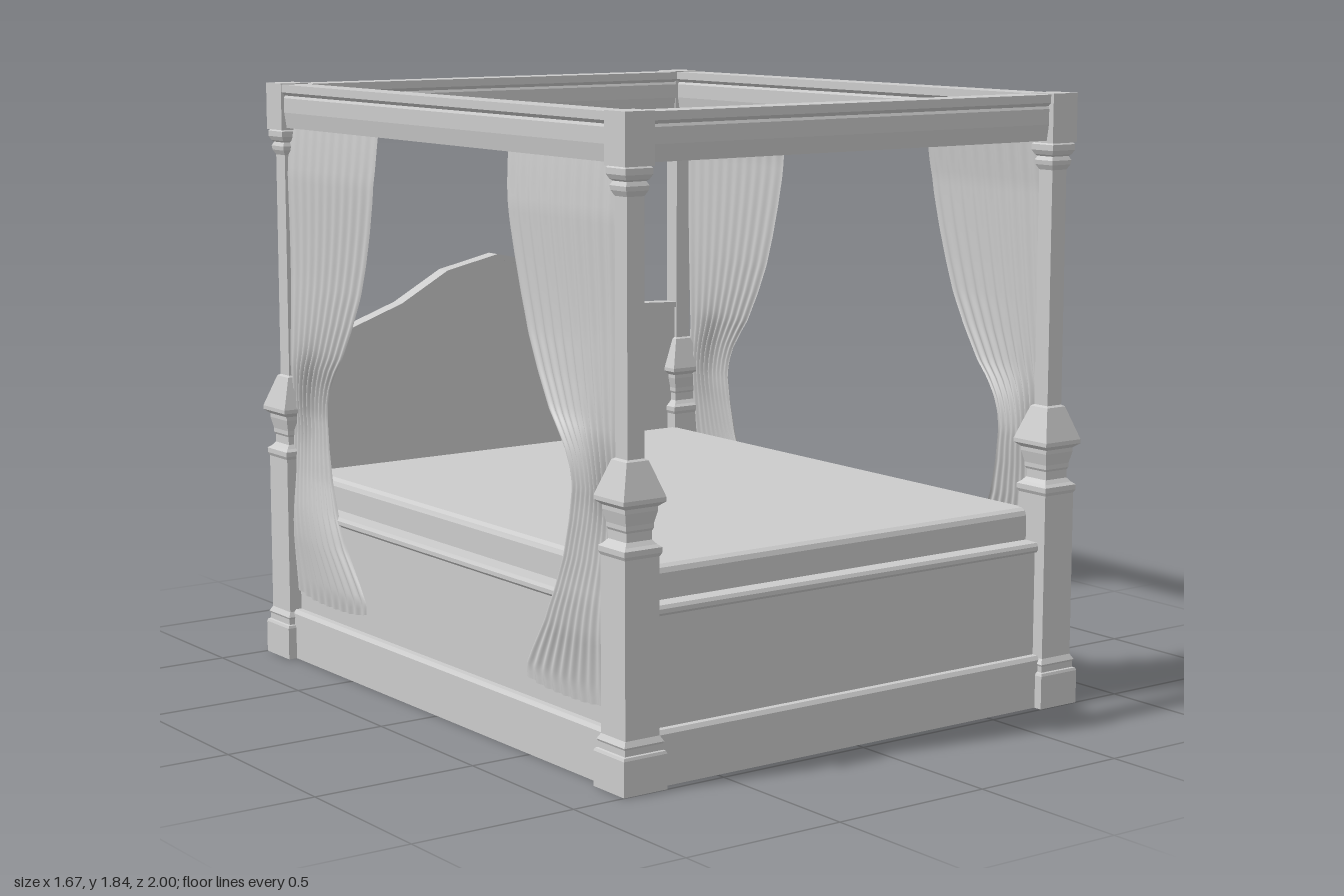
import * as THREE from 'three';

const flat = new THREE.MeshStandardMaterial({ color: 0xcccccc, flatShading: true });
const cloth = new THREE.MeshStandardMaterial({ color: 0xcccccc, side: THREE.DoubleSide });
const POST_X = 0.764, POST_Z = 0.928;

// Sweeps a profile of [offset, y] points around a rectangle of half sizes hx, hz
function sweepRect(name, hx, hz, profile, closed = false) {
  const corners = [[1, 1], [1, -1], [-1, -1], [-1, 1]];
  const point = ([o, y], k) => {
    const [sx, sz] = corners[k % 4];
    return [sx * (hx + o), y, sz * (hz + o)];
  };
  const pos = [];
  const count = closed ? profile.length : profile.length - 1;
  for (let i = 0; i < count; i++) {
    const p = profile[i], q = profile[(i + 1) % profile.length];
    for (let k = 0; k < 4; k++) {
      const a = point(p, k), b = point(p, k + 1), c = point(q, k + 1), d = point(q, k);
      pos.push(...a, ...b, ...c, ...a, ...c, ...d);
    }
  }
  const geo = new THREE.BufferGeometry();
  geo.setAttribute('position', new THREE.Float32BufferAttribute(pos, 3));
  geo.computeVertexNormals();
  const mesh = new THREE.Mesh(geo, flat);
  mesh.name = name;
  return mesh;
}

// Linear look-up in a list of [y, value] points, y falling
function sample(points, y) {
  for (let i = 0; i < points.length - 1; i++) {
    const [y0, a] = points[i], [y1, b] = points[i + 1];
    if (y >= y1) return THREE.MathUtils.lerp(a, b, THREE.MathUtils.clamp((y0 - y) / (y0 - y1), 0, 1));
  }
  return points[points.length - 1][1];
}

// Square turned post with foot, bell and capital block
function makePost() {
  return sweepRect('post', 0, 0, [
    [0, 0], [0.072, 0], [0.072, 0.1], [0.069, 0.108], [0.063, 0.11], [0.063, 0.128], [0.066, 0.134],
    [0.057, 0.15], [0.057, 0.645], [0.062, 0.655], [0.062, 0.67], [0.052, 0.678], [0.042, 0.69],
    [0.042, 0.715], [0.046, 0.722], [0.046, 0.735], [0.054, 0.77], [0.054, 0.782], [0.07, 0.795],
    [0.07, 0.807], [0.036, 0.905], [0.028, 0.91], [0.028, 1.61], [0.036, 1.625], [0.038, 1.638],
    [0.032, 1.65], [0.038, 1.655], [0.045, 1.668], [0.045, 1.685], [0.04, 1.69], [0.048, 1.69],
    [0.048, 1.835], [0, 1.835],
  ]);
}

// Arched headboard with a wider capping strip
function makeHeadboard() {
  const half = [[0.74, 1.034], [0.565, 1.042], [0.37, 1.11], [0.195, 1.206]];
  const top = [...half, [0, 1.248], ...half.map(([x, y]) => [-x, y]).reverse()];
  const extrude = (name, outline, z, depth) => {
    const shape = new THREE.Shape(outline.map(([x, y]) => new THREE.Vector2(x, y)));
    const mesh = new THREE.Mesh(new THREE.ExtrudeGeometry(shape, { depth, bevelEnabled: false }), flat);
    mesh.name = name;
    mesh.position.z = z;
    return mesh;
  };
  const lower = top.map(([x, y]) => [x, y - 0.018]);
  const group = new THREE.Group();
  group.name = 'headboard';
  group.add(
    extrude('headboardPanel', [[-0.74, 0.48], [0.74, 0.48], ...lower], -0.948, 0.035),
    extrude('headboardCap', [...top, ...[...lower].reverse()], -0.957, 0.053),
  );
  return group;
}

// Tied-back curtain: free edge, hang, pleat depth and billow are read by height
const FREE_EDGE = [[1.7, 0.356], [1.6, 0.362], [1.5, 0.377], [1.4, 0.4], [1.3, 0.428], [1.2, 0.462],
  [1.1, 0.512], [1, 0.572], [0.95, 0.615], [0.9, 0.65], [0.85, 0.67], [0.8, 0.678], [0.7, 0.665],
  [0.6, 0.643], [0.5, 0.605], [0.4, 0.552], [0.3, 0.48], [0.25, 0.448], [0.2, 0.455]];
const HANG = [[1.7, 0.772], [1.55, 0.787], [1.3, 0.795], [1.1, 0.8], [0.95, 0.804], [0.8, 0.798],
  [0.6, 0.802], [0.45, 0.806], [0.3, 0.803], [0.2, 0.8]];
const PLEAT = [[1.7, 0.003], [1.3, 0.0035], [1.0, 0.004], [0.75, 0.004], [0.2, 0.004]];
const BILLOW = [[1.7, 0], [0.75, 0.002], [0.62, 0.012], [0.5, 0.022], [0.4, 0.022], [0.3, 0.012], [0.2, 0.004]];

function makeCurtain(sx, sz, inset) {
  const geo = new THREE.PlaneGeometry(1, 1, 120, 70);
  const pos = geo.attributes.position;
  for (let i = 0; i < pos.count; i++) {
    const u = pos.getX(i) + 0.5, v = 0.5 - pos.getY(i);
    const hem = 0.2 + 0.03 * Math.pow(Math.abs(u - 0.45) / 0.55, 3);
    const y = THREE.MathUtils.lerp(1.7, hem, v);
    const z = THREE.MathUtils.lerp(sample(FREE_EDGE, y), 0.9, u);
    // Pleats bunch up where the cloth is tied
    const bunch = 0.008 * Math.exp(-(((y - 0.86) / 0.12) ** 2) - ((u - 0.65) / 0.2) ** 2);
    const wave = Math.sin(u * Math.PI * 20) * (sample(PLEAT, y) + bunch);
    const billow = sample(BILLOW, y) * Math.sqrt(Math.abs(Math.sin(u * Math.PI)));
    const drop = THREE.MathUtils.smoothstep(1.7 - y, 0, 0.5);
    pos.setXYZ(i, sx * (sample(HANG, y) - inset * drop + wave + billow), y, sz * z);
  }
  geo.computeVertexNormals();
  const mesh = new THREE.Mesh(geo, cloth);
  mesh.name = 'curtain';
  return mesh;
}

export function createModel() {
  const model = new THREE.Group();
  model.name = 'fourPosterBed';

  // Hollow base: plinth, thick panels and top moulding
  model.add(
    sweepRect('plinth', 0.8, 0.965, [[-0.1, 0], [0.008, 0], [0.008, 0.145], [0, 0.157], [-0.1, 0.157]], true),
    sweepRect('basePanels', 0.78, 0.945, [[-0.078, 0.15], [0, 0.15], [0, 0.5], [-0.078, 0.5]], true),
    sweepRect('baseMoulding', 0.78, 0.945, [[-0.07, 0.47], [0.006, 0.47], [0.014, 0.478], [0.014, 0.49],
      [0.008, 0.5], [-0.07, 0.503]], true),
  );

  // Bed base closing the frame from below
  const slab = new THREE.Mesh(new THREE.BoxGeometry(1.42, 0.06, 1.75), flat);
  slab.name = 'bedBase';
  slab.position.y = 0.46;
  model.add(slab);

  // Mattress with softened top edge
  model.add(sweepRect('mattress', 0.735, 0.905, [[-0.735, 0.49], [0, 0.49], [0, 0.575],
    [-0.006, 0.589], [-0.02, 0.597], [-0.735, 0.597]]));

  // Canopy frame with cap, shadow groove and tapered lower face
  model.add(sweepRect('canopyFrame', POST_X, 0.92, [[-0.03, 1.697], [0.03, 1.697], [0.038, 1.745],
    [0.038, 1.79], [0.034, 1.798], [0.045, 1.808], [0.045, 1.832],
    [-0.045, 1.832], [-0.045, 1.808], [-0.034, 1.798], [-0.038, 1.79], [-0.038, 1.745]], true));

  model.add(makeHeadboard());

  // Posts and curtains at the four corners
  for (const sx of [-1, 1]) {
    for (const sz of [-1, 1]) {
      const post = makePost();
      post.position.set(sx * POST_X, 0, sz * POST_Z);
      const inset = sx < 0 ? 0.018 : sz < 0 ? 0.008 : 0;
      model.add(post, makeCurtain(sx, sz, inset));
    }
  }
  return model;
}
